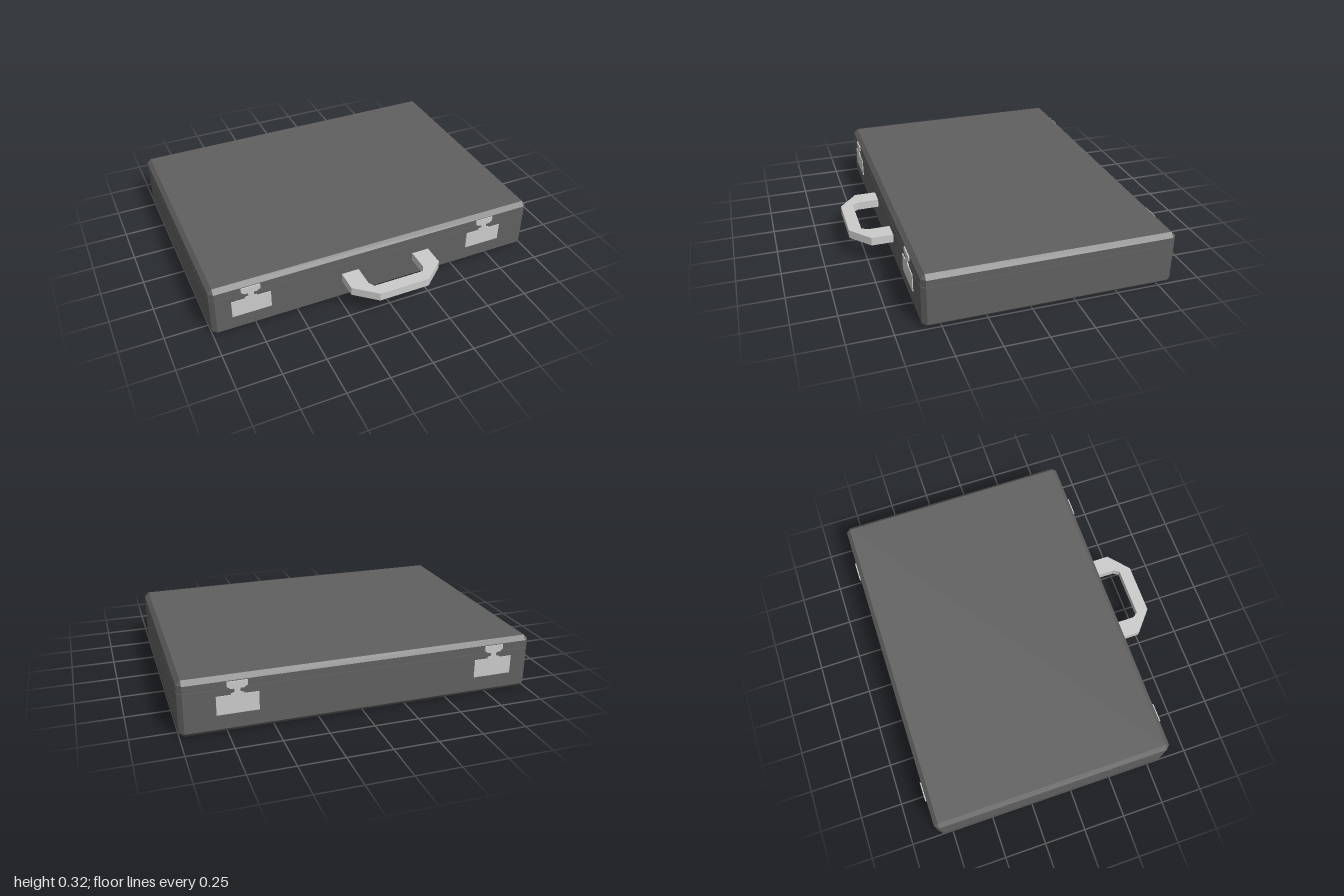
import * as THREE from 'three';
import { ConvexGeometry } from 'three/addons/geometries/ConvexGeometry.js';

const shell = new THREE.MeshStandardMaterial({ color: 0x606060, flatShading: true });
const metal = new THREE.MeshStandardMaterial({ color: 0xcccccc, flatShading: true });

const FRONT = 0.602, BACK = -0.832, MID = (FRONT + BACK) / 2, HALF_D = (FRONT - BACK) / 2;
const BEVEL = 0.025, SEAM = 0.25, HEIGHT = 0.32;

function add(parent, name, geometry, material) {
  const mesh = new THREE.Mesh(geometry, material);
  mesh.name = name;
  parent.add(mesh);
  return mesh;
}

// Half of the case: cut vertical corners, and one outer face (yOuter) with bevelled rims
function shellHalf(yOuter, yBevel, ySeam) {
  const points = [];
  for (const sx of [-1, 1]) for (const sz of [-1, 1]) {
    const put = (ix, y, iz) =>
      points.push(new THREE.Vector3(sx * (1 - ix), y, MID + sz * (HALF_D - iz)));
    put(BEVEL, yOuter, BEVEL);
    for (const y of [yBevel, ySeam]) {
      put(0, y, BEVEL);
      put(BEVEL, y, 0);
    }
  }
  return new ConvexGeometry(points);
}

function extrude(points, depth) {
  const shape = new THREE.Shape(points.map(([x, y]) => new THREE.Vector2(x, y)));
  return new THREE.ExtrudeGeometry(shape, { depth, bevelEnabled: false });
}

// Latch facing +z, its back on z = 0
function createLatch() {
  const latch = new THREE.Group();
  latch.name = 'latch';
  add(latch, 'latchPlate', new THREE.BoxGeometry(0.226, 0.105, 0.005), metal).position.set(0, 0.162, 0.0025);
  add(latch, 'latchLever', extrude([
    [-0.035, 0.214], [0.035, 0.214], [0.035, 0.222], [0.016, 0.228],
    [0.016, 0.252], [-0.016, 0.252], [-0.016, 0.228], [-0.035, 0.222],
  ], 0.007), metal);
  add(latch, 'latchCatch', extrude([
    [-0.035, 0.25], [0.035, 0.25], [0.055, 0.264], [0.055, 0.291],
    [-0.055, 0.291], [-0.055, 0.264],
  ], 0.007), metal);
  return latch;
}

export function createModel() {
  const model = new THREE.Group();
  model.name = 'briefcase';

  // Case
  add(model, 'base', shellHalf(0, BEVEL, SEAM), shell);
  add(model, 'lid', shellHalf(HEIGHT, HEIGHT - BEVEL, SEAM + 0.003), shell);

  // Latches on the front and their matching fittings on the back
  for (const x of [-0.772, 0.693]) {
    const front = createLatch();
    front.position.set(x, 0, FRONT);
    const back = createLatch();
    back.name = 'rearLatch';
    back.rotation.y = Math.PI;
    back.position.set(x, 0, BACK);
    model.add(front, back);
  }

  // Carrying handle, drawn in plan and laid flat
  const handle = extrude([
    [-0.235, 0.59], [-0.13, 0.59], [-0.13, 0.73], [-0.11, 0.765],
    [0.195, 0.765], [0.215, 0.73], [0.215, 0.59], [0.32, 0.59],
    [0.32, 0.73], [0.195, 0.838], [-0.108, 0.838], [-0.235, 0.73],
  ], 0.05);
  handle.rotateX(Math.PI / 2);
  add(model, 'handle', handle, metal).position.y = 0.184;

  return model;
}
